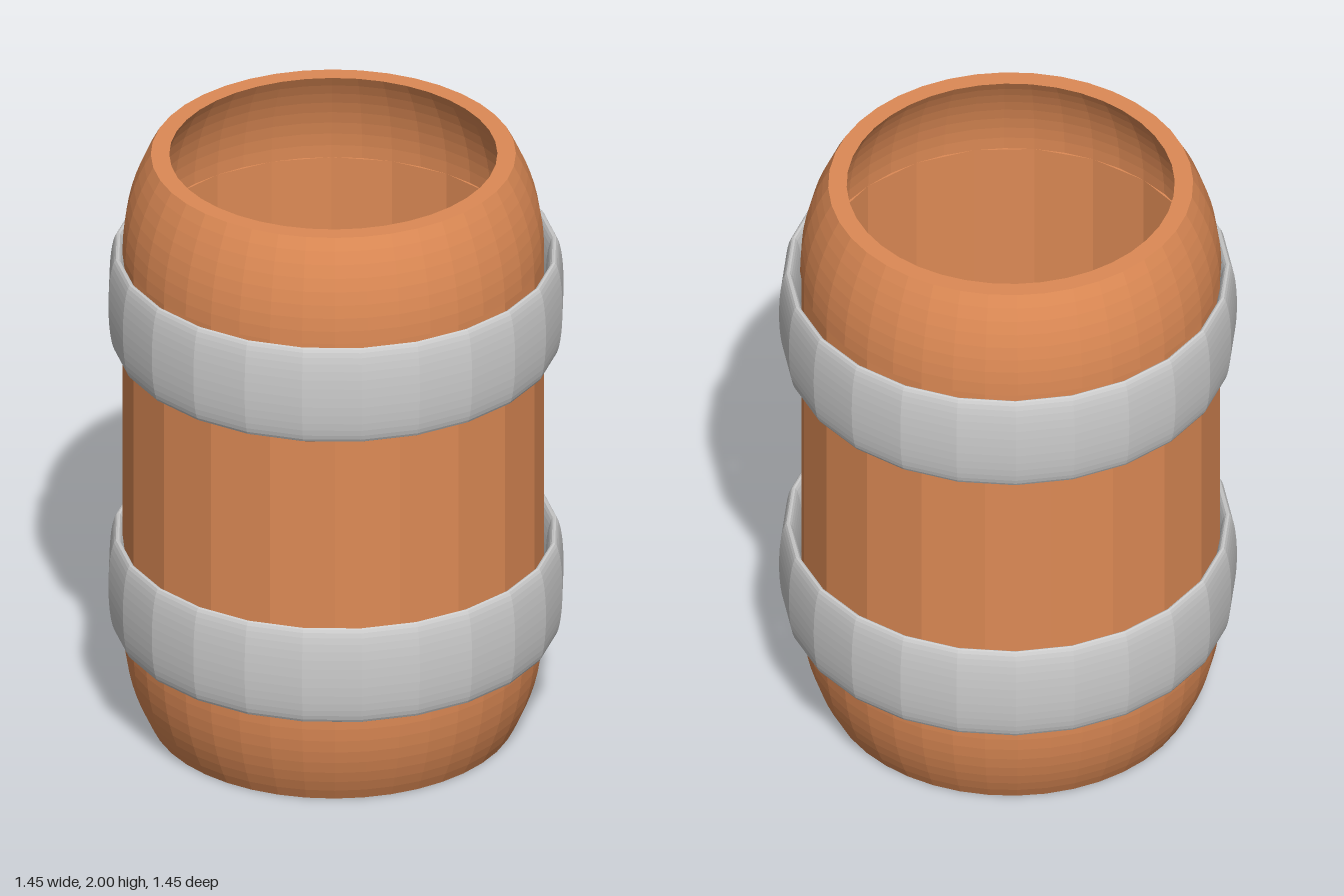
import * as THREE from 'three';

const WOOD = new THREE.MeshStandardMaterial({ color: 0xdd8a55, flatShading: true });
const METAL = new THREE.MeshStandardMaterial({ color: 0xcccccc, flatShading: true });

const OUTER = 0.667, INNER = 0.617; // wall radii
const SHOULDER = 0.333;             // height of each rounded end

function add(parent, name, geometry, material) {
  const mesh = new THREE.Mesh(geometry, material);
  mesh.name = name;
  parent.add(mesh);
  return mesh;
}

// Points of a spherical shoulder rising from its equator to the rim
function shoulderArc(radius, steps = 8) {
  const end = Math.asin(SHOULDER / radius);
  return Array.from({ length: steps + 1 }, (_, i) => {
    const a = (end * i) / steps;
    return new THREE.Vector2(radius * Math.cos(a), 2 - SHOULDER + radius * Math.sin(a));
  });
}

export function createModel() {
  const model = new THREE.Group();
  model.name = 'barrel';

  const body = new THREE.Group();
  body.name = 'body';
  body.position.set(-0.006, 0, -0.006);
  model.add(body);

  // Straight middle wall, coarse staves, hollow
  const lo = SHOULDER, hi = 2 - SHOULDER;
  const wall = [[INNER, lo], [OUTER, lo], [OUTER, hi], [INNER, hi], [INNER, lo]]
    .map(([r, y]) => new THREE.Vector2(r, y));
  add(body, 'middleWall', new THREE.LatheGeometry(wall, 20), WOOD);

  // Rounded open ends: outer arc up, flat rim, inner arc down
  const top = [...shoulderArc(OUTER), ...shoulderArc(INNER).reverse()];
  const bottom = top.map((p) => new THREE.Vector2(p.x, 2 - p.y)).reverse();
  add(body, 'topEnd', new THREE.LatheGeometry(top, 40), WOOD);
  add(body, 'bottomEnd', new THREE.LatheGeometry(bottom, 40), WOOD);

  // Two hoops: rings with a tall elliptical section
  const hoop = new THREE.TorusGeometry(0.696, 0.029, 32, 24);
  hoop.rotateX(Math.PI / 2).scale(1, 0.167 / 0.029, 1);
  for (const [name, y] of [['lowerHoop', 0.5], ['upperHoop', 1.5]]) {
    add(model, name, hoop, METAL).position.y = y;
  }

  return model;
}
